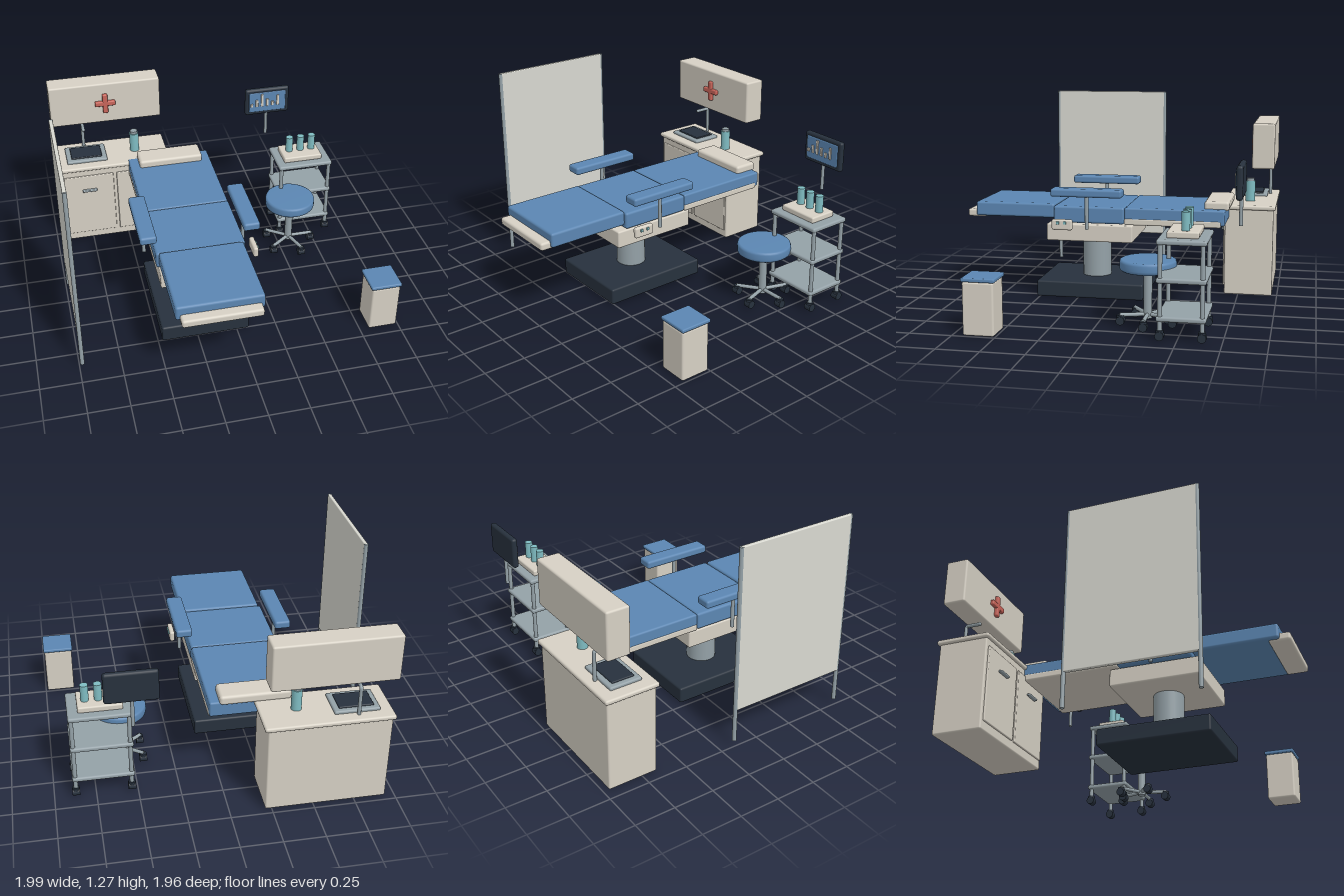
import * as THREE from 'three';
import { RoundedBoxGeometry } from 'three/addons/geometries/RoundedBoxGeometry.js';

const mat = (color) => new THREE.MeshStandardMaterial({ color });
const M = {
  cream: mat(0xd6d0c4), blue: mat(0x5b86b2), dark: mat(0x27313d), steel: mat(0x94a1a7),
  teal: mat(0x7fbcc2), red: mat(0xc8655a), cloth: mat(0xd8d8d0),
};

function add(parent, name, geo, material) {
  const mesh = new THREE.Mesh(geo, material);
  mesh.name = name;
  parent.add(mesh);
  return mesh;
}

// Softened box given by its limits on each axis
function box(parent, name, material, [x0, x1], [y0, y1], [z0, z1], r = 0.01) {
  const w = x1 - x0, h = y1 - y0, d = z1 - z0;
  const geo = new RoundedBoxGeometry(w, h, d, 2, Math.min(r, Math.min(w, h, d) * 0.45));
  const mesh = add(parent, name, geo, material);
  mesh.position.set((x0 + x1) / 2, (y0 + y1) / 2, (z0 + z1) / 2);
  return mesh;
}

// Upright cylinder from y0 to y1
function post(parent, name, material, x, z, r, y0, y1) {
  const mesh = add(parent, name, new THREE.CylinderGeometry(r, r, y1 - y0, 28), material);
  mesh.position.set(x, (y0 + y1) / 2, z);
  return mesh;
}

// Wheel with its fork stem
function caster(parent, x, z) {
  const wheel = add(parent, 'casterWheel', new THREE.CylinderGeometry(0.025, 0.025, 0.045, 20), M.dark);
  wheel.rotation.z = Math.PI / 2;
  wheel.position.set(x, 0.03, z);
  post(parent, 'casterStem', M.dark, x, z, 0.022, 0.035, 0.062);
}

function group(root, name) {
  const g = new THREE.Group();
  g.name = name;
  root.add(g);
  return g;
}

function buildChair(root) {
  const g = group(root, 'treatmentChair');
  box(g, 'chairBase', M.dark, [-0.475, 0.075], [0.005, 0.108], [-0.175, 0.515], 0.012);
  post(g, 'liftColumn', M.steel, -0.2, 0.175, 0.092, 0.1, 0.38);
  box(g, 'seatPan', M.cream, [-0.46, 0.06], [0.37, 0.48], [-0.105, 0.45]);
  box(g, 'seatCushion', M.blue, [-0.475, 0.075], [0.49, 0.597], [-0.055, 0.4], 0.015);
  box(g, 'legCushion', M.blue, [-0.46, 0.06], [0.515, 0.607], [0.398, 0.918], 0.015);
  box(g, 'footPlate', M.cream, [-0.435, 0.04], [0.505, 0.555], [0.85, 0.98], 0.015);
  box(g, 'backCushion', M.blue, [-0.473, 0.073], [0.5, 0.597], [-0.685, -0.055], 0.012);
  box(g, 'backShell', M.cream, [-0.476, 0.076], [0.488, 0.53], [-0.66, -0.055]);
  box(g, 'headPillow', M.cream, [-0.41, 0.015], [0.585, 0.645], [-0.705, -0.55], 0.018);
  // Armrests on both sides
  for (const s of [-1, 1]) {
    const x = -0.2 + s * 0.315;
    box(g, 'armPad', M.blue, [x - 0.051, x + 0.051], [0.668, 0.72], [-0.055, 0.398], 0.015);
    post(g, 'armPost', M.steel, x, 0.175, 0.012, 0.46, 0.68);
  }
  // Side control box with two buttons
  box(g, 'controlBox', M.cream, [0.13, 0.162], [0.457, 0.525], [0.26, 0.392], 0.012);
  for (const z of [0.305, 0.35]) box(g, 'controlButton', M.teal, [0.155, 0.17], [0.495, 0.513], [z - 0.009, z + 0.009], 0.003);
}

function buildCounter(root) {
  const g = group(root, 'sinkCounter');
  box(g, 'counterBody', M.cream, [-0.94, -0.21], [0.005, 0.57], [-0.968, -0.66]);
  box(g, 'counterTop', M.cream, [-0.955, -0.19], [0.562, 0.592], [-0.982, -0.645], 0.012);
  for (const x of [-0.75, -0.393]) {
    box(g, 'cupboardDoor', M.cream, [x - 0.168, x + 0.168], [0.06, 0.52], [-0.67, -0.65], 0.006);
    box(g, 'doorHandle', M.steel, [x - 0.05, x + 0.05], [0.403, 0.417], [-0.655, -0.628], 0.006);
  }
  // Sink and tap
  box(g, 'sinkRim', M.steel, [-0.88, -0.608], [0.585, 0.61], [-0.91, -0.71]);
  box(g, 'sinkBasin', M.dark, [-0.848, -0.64], [0.6, 0.619], [-0.88, -0.74], 0.006);
  const path = new THREE.CurvePath();
  const p = [[0.59, -0.925], [0.765, -0.925], [0.775, -0.915], [0.775, -0.835]]
    .map(([y, z]) => new THREE.Vector3(-0.745, y, z));
  for (let i = 0; i < 3; i++) path.add(new THREE.LineCurve3(p[i], p[i + 1]));
  add(g, 'tap', new THREE.TubeGeometry(path, 48, 0.011, 14), M.steel);
  add(g, 'tapTip', new THREE.SphereGeometry(0.012, 14, 10), M.steel).position.copy(p[3]);
  // Soap dispenser
  post(g, 'soapBottle', M.teal, -0.408, -0.808, 0.031, 0.59, 0.725);
  post(g, 'soapCap', M.steel, -0.408, -0.808, 0.025, 0.72, 0.742);
  // Wall cabinet with a red cross
  box(g, 'wallCabinet', M.cream, [-0.955, -0.215], [0.825, 1.113], [-0.967, -0.825], 0.012);
  box(g, 'crossBar', M.red, [-0.655, -0.518], [0.954, 0.989], [-0.83, -0.803], 0.008);
  box(g, 'crossUpright', M.red, [-0.604, -0.569], [0.902, 1.04], [-0.83, -0.803], 0.008);
}

function buildScreen(root) {
  const g = group(root, 'privacyScreen');
  for (const z of [-0.15, 0.622]) post(g, 'screenPost', M.steel, -0.982, z, 0.013, 0.03, 1.268);
  box(g, 'screenPanel', M.cloth, [-0.994, -0.97], [0.238, 1.27], [-0.152, 0.624], 0.006);
}

function buildStool(root) {
  const g = group(root, 'stool');
  g.position.set(0.565, 0, -0.29);
  const profile = [[0, 0.325], [0.155, 0.325], [0.164, 0.333], [0.166, 0.345], [0.166, 0.375], [0.162, 0.386], [0.152, 0.391], [0, 0.391]];
  add(g, 'stoolSeat', new THREE.LatheGeometry(profile.map(([r, y]) => new THREE.Vector2(r, y)), 36), M.blue);
  post(g, 'stoolColumn', M.steel, 0, 0, 0.025, 0.04, 0.33);
  // Five star legs
  for (let i = 0; i < 5; i++) {
    const a = (i * Math.PI * 2) / 5, c = Math.cos(a), s = Math.sin(a);
    const leg = add(g, 'stoolLeg', new THREE.CylinderGeometry(0.012, 0.012, 0.165, 14), M.steel);
    leg.rotation.set(0, -a, Math.PI / 2);
    leg.position.set(c * 0.0825, 0.062, s * 0.0825);
    caster(g, c * 0.16, s * 0.16);
  }
}

function buildCart(root) {
  const g = group(root, 'instrumentCart');
  for (const y of [0.125, 0.34, 0.553]) box(g, 'cartShelf', M.steel, [0.515, 0.888], [y - 0.015, y + 0.015], [-0.662, -0.383], 0.012);
  for (const x of [0.535, 0.87]) for (const z of [-0.64, -0.405]) {
    post(g, 'cartPost', M.steel, x, z, 0.013, 0.055, 0.56);
    caster(g, x, z);
  }
  box(g, 'tray', M.cream, [0.563, 0.827], [0.566, 0.605], [-0.612, -0.432]);
  for (const x of [0.622, 0.7, 0.778]) post(g, 'trayBottle', M.teal, x, -0.533, 0.024, 0.6, 0.71);
}

function buildMonitor(root) {
  const g = group(root, 'monitor');
  box(g, 'monitorCase', M.dark, [0.377, 0.688], [0.76, 0.955], [-0.833, -0.795], 0.016);
  box(g, 'monitorDisplay', M.blue, [0.402, 0.662], [0.785, 0.932], [-0.805, -0.79], 0.006);
  post(g, 'monitorPole', M.steel, 0.53, -0.815, 0.011, 0.595, 0.78);
  [0.85, 0.878, 0.92, 0.882, 0.86, 0.903].forEach((top, i) => {
    const x = 0.42 + i * 0.037;
    box(g, 'chartBar', M.cream, [x - 0.009, x + 0.009], [0.827, top], [-0.795, -0.783], 0.003);
  });
}

function buildBin(root) {
  const g = group(root, 'wasteBin');
  box(g, 'binBody', M.cream, [0.807, 0.988], [0, 0.308], [0.507, 0.69], 0.012);
  box(g, 'binLid', M.blue, [0.8, 0.995], [0.308, 0.332], [0.498, 0.695], 0.008);
}

export function createModel() {
  const root = new THREE.Group();
  root.name = 'clinicRoom';
  for (const build of [buildChair, buildCounter, buildScreen, buildStool, buildCart, buildMonitor, buildBin]) build(root);
  return root;
}
